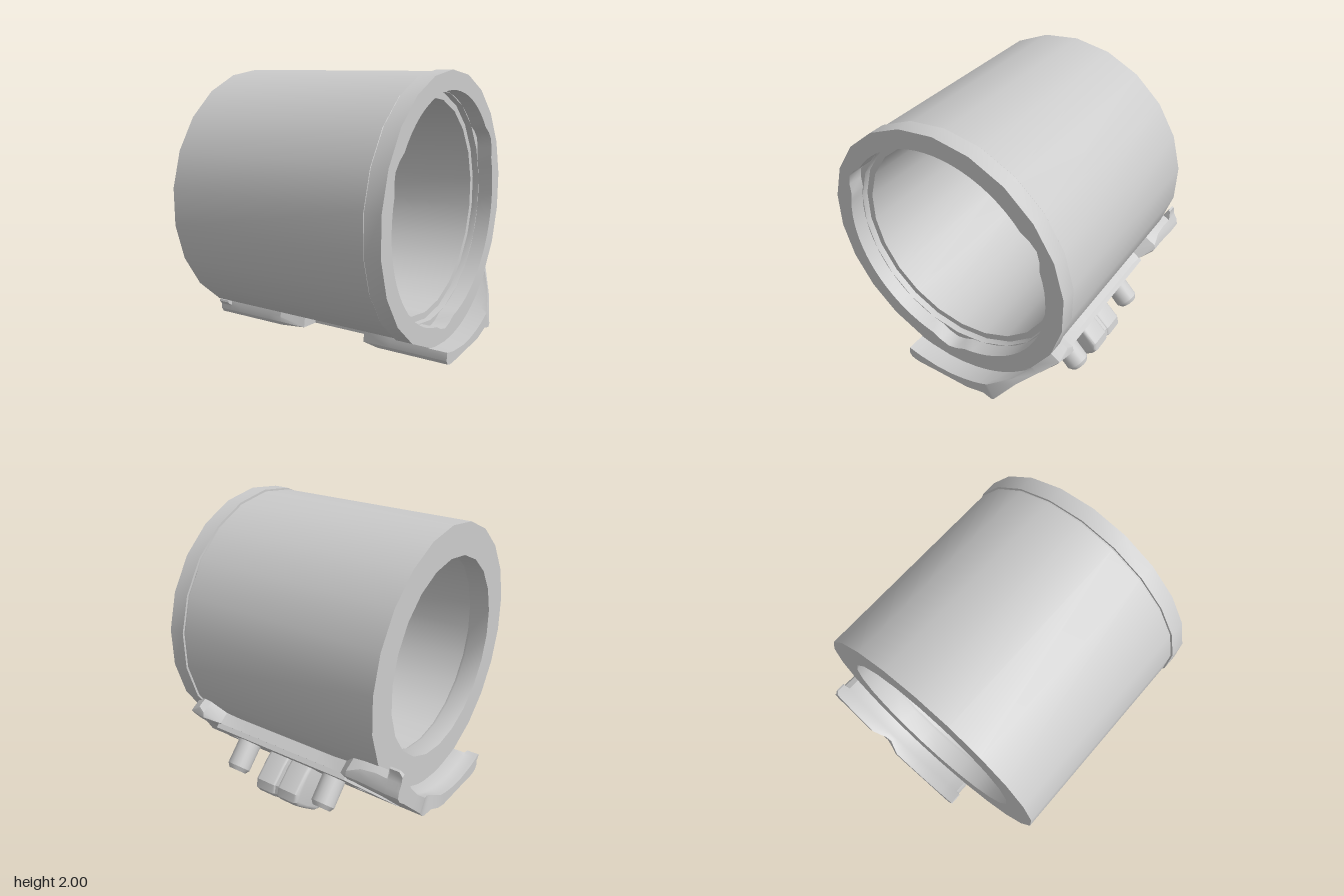
import * as THREE from 'three';
import { toCreasedNormals } from 'three/addons/utils/BufferGeometryUtils.js';

const CY = 1.115; // height of the ring axis, which runs along x
const MID = 0.03; // middle of the saddle along x
const SIDES = 22;
const rad = THREE.MathUtils.degToRad;

// Piecewise-linear lookup in a list of [key, value]
function lerpTable(table, k) {
  if (k <= table[0][0]) return table[0][1];
  for (let i = 1; i < table.length; i++) {
    const [k0, v0] = table[i - 1], [k1, v1] = table[i];
    if (k <= k1) return v0 + (v1 - v0) * (k - k0) / (k1 - k0);
  }
  return table[table.length - 1][1];
}

// Extrude an outline given in (-z, y) along x, from x0 to x1
function extrudeX(shape, x0, x1, bevel = 0) {
  const g = new THREE.ExtrudeGeometry(shape, {
    depth: x1 - x0 - 2 * bevel, bevelEnabled: bevel > 0,
    bevelSize: bevel, bevelOffset: -bevel, bevelThickness: bevel, bevelSegments: 3, curveSegments: 8,
  });
  g.rotateY(Math.PI / 2);
  g.translate(x0 + bevel, 0, 0);
  return g;
}

// Revolve an (r, x) outline about the ring axis
function latheX(points) {
  const g = new THREE.LatheGeometry(points.map(p => new THREE.Vector2(...p)), SIDES, Math.PI / 2);
  g.rotateZ(-Math.PI / 2);
  g.translate(0, CY, 0);
  return g;
}

// Saddle: angle (degrees from straight down, positive to the back) -> outer radius
const OUTER = [
  [-18, 0.89], [-16, 0.91], [-15.5, 0.945], [-14, 0.968], [-12, 0.97], [-9.5, 0.965], [0, 0.942],
  [8, 0.945], [15, 0.963], [20, 0.965], [23.5, 0.972], [25, 0.995], [26.6, 1.018], [30, 0.999],
  [33, 0.987], [37, 0.975], [45, 0.965], [54, 0.977], [58, 0.995], [60.5, 0.995], [62.5, 0.965],
  [64, 0.925], [66, 0.90], [68, 0.89],
];
// x, first angle, last angle, inner radius, lowering of the sloping face
const SECTIONS = [
  [-0.93, -18, 66, 0.875, 0], [-0.91, -18, 68, 0.875, 0], [-0.845, -18, 68, 0.875, 0],
  [-0.835, -16, 64, 0.87, 0], [-0.75, -16, 64, 0.87, 0.005], [-0.65, -16, 63.5, 0.865, 0.01],
  [-0.56, -16, 62, 0.865, 0.01], [-0.47, -16, 55, 0.865, 0.03], [-0.37, -16, 54, 0.865, 0.03],
  [-0.22, -10, 54, 0.865, 0.03], [-0.2, -3, 54, 0.865, 0.03], [0.26, -3, 54, 0.865, 0.03],
  [0.28, -10, 54, 0.865, 0.03], [0.43, -16, 54, 0.865, 0.03], [0.53, -16, 55, 0.865, 0.03],
  [0.61, -16, 62, 0.865, 0.01], [0.66, -16, 63, 0.865, 0.015], [0.74, -16, 60, 0.865, 0.03],
  [0.81, -16, 50, 0.865, 0.035], [0.81, -16, 50, 0.89, 0.035], [0.88, -16, 40, 0.89, 0.035], [0.94, -16, 28, 0.89, 0.03],
];

function saddleGeometry() {
  const angles = OUTER.map(o => o[0]);
  const n = angles.length, loop = 2 * n, pos = [], index = [];
  SECTIONS.forEach(([x, lo, hi, inner, drop]) => {
    const put = (a, r) => {
      // shallow dent in the far lip
      const dent = x < -0.9 ? 0.05 * Math.max(0, 1 - Math.abs(a - 28) / 8) : 0;
      pos.push(x + dent, CY - r * Math.cos(rad(a)), -r * Math.sin(rad(a)));
    };
    const clamped = angles.map(a => Math.min(hi, Math.max(lo, a)));
    clamped.forEach(a => put(a, lerpTable(OUTER, a) - drop * THREE.MathUtils.smoothstep(a, 27, 36)));
    clamped.slice().reverse().forEach(a => put(a, inner));
  });
  for (let s = 0; s < SECTIONS.length - 1; s++) {
    for (let i = 0; i < loop; i++) {
      const a = s * loop + i, b = s * loop + (i + 1) % loop;
      index.push(a, b, b + loop, a, b + loop, a + loop);
    }
  }
  // end caps
  const last = (SECTIONS.length - 1) * loop;
  for (let i = 0; i < n - 1; i++) {
    const o0 = i, o1 = i + 1, i1 = loop - 2 - i, i0 = loop - 1 - i;
    index.push(o0, i1, o1, o0, i0, i1);
    index.push(last + o0, last + o1, last + i1, last + o0, last + i1, last + i0);
  }
  const g = new THREE.BufferGeometry();
  g.setAttribute('position', new THREE.Float32BufferAttribute(pos, 3));
  g.setIndex(index);
  return g;
}

export function createModel() {
  const model = new THREE.Group();
  const material = new THREE.MeshStandardMaterial({ color: 0xcccccc });
  const add = (name, geometry, parent = model, crease = 0.55) => {
    const mesh = new THREE.Mesh(toCreasedNormals(geometry, crease), material);
    mesh.name = name;
    parent.add(mesh);
    return mesh;
  };

  // Main sleeve: wide bore, narrower lip at the far end, ledge behind the collar
  add('sleeve', latheX([
    [0.665, -0.75], [0.875, -0.75], [0.875, 0.69], [0.87, 0.695], [0.87, 0.705],
    [0.76, 0.705], [0.76, 0.66], [0.715, 0.66], [0.715, -0.6], [0.675, -0.6], [0.665, -0.62], [0.665, -0.75],
  ]));

  // Collar with three small notches in its inner edge
  const collar = new THREE.Shape();
  for (let i = 0; i < SIDES; i++) {
    const a = Math.PI / 2 + i / SIDES * 2 * Math.PI;
    collar[i ? 'lineTo' : 'moveTo'](0.885 * Math.cos(a), CY + 0.885 * Math.sin(a));
  }
  const bore = new THREE.Path();
  for (let i = 0; i < 72; i++) {
    const deg = i * 5, a = rad(deg - 90);
    const off = Math.min(...[0, 120, 245, 360].map(k => Math.abs(deg - k)));
    const r = off < 3 ? 0.80 : off < 6 ? 0.785 : 0.76;
    bore[i ? 'lineTo' : 'moveTo'](r * Math.cos(a), CY + r * Math.sin(a));
  }
  collar.holes.push(bore);
  add('collar', extrudeX(collar, 0.7, 0.81));

  // Saddle wrapped around the underside and lower back
  add('saddle', saddleGeometry());

  // Sloping mount: local z points outward, local y up the slope
  const mount = new THREE.Group();
  mount.name = 'mount';
  mount.position.set(MID, CY, 0);
  const out = new THREE.Vector3(0, -Math.SQRT1_2, -Math.SQRT1_2);
  const up = new THREE.Vector3(0, Math.SQRT1_2, -Math.SQRT1_2);
  mount.quaternion.setFromRotationMatrix(
    new THREE.Matrix4().makeBasis(new THREE.Vector3().crossVectors(up, out), up, out));
  model.add(mount);

  // Tapered face plate with two screw holes
  const plate = new THREE.Shape([[-0.74, -0.31], [0.74, -0.31], [0.53, 0.145], [-0.53, 0.145]]
    .map(p => new THREE.Vector2(...p)));
  for (const side of [-1, 1]) {
    plate.holes.push(new THREE.Path().absarc(side * 0.53, -0.14, 0.045, 0, 2 * Math.PI, true));
  }
  const plateGeometry = new THREE.ExtrudeGeometry(plate, { depth: 0.05, bevelEnabled: false, curveSegments: 8 });
  plateGeometry.translate(0, 0, 0.92);
  add('facePlate', plateGeometry, mount);

  // Pair of pegs with chamfered ends
  for (const side of [-1, 1]) {
    const peg = new THREE.LatheGeometry([[0.08, 0.93], [0.08, 1.15], [0.06, 1.178], [0, 1.178]]
      .map(p => new THREE.Vector2(...p)), 18);
    peg.rotateX(Math.PI / 2);
    peg.translate(side * 0.36, -0.05, 0);
    add(side < 0 ? 'pegRight' : 'pegLeft', peg, mount);
  }

  // Foot made of two rounded halves with a seam between
  const foot = inset => new THREE.Shape([
    [0.46, 0.25], [0.47, 0.14], [0.48, 0.07], [0.51, 0.02], [0.57, 0.0], [0.62, 0.018], [0.72, 0.1],
    [0.80, 0.17], [0.825, 0.21], [0.81, 0.27], [0.70, 0.37], [0.60, 0.44],
  ].map(([u, y]) => new THREE.Vector2(0.64 + (u - 0.64) * inset, 0.2 + (y - 0.2) * inset)));
  add('footRight', extrudeX(foot(1), -0.145, 0.025, 0.025));
  add('footLeft', extrudeX(foot(1), 0.035, 0.205, 0.025));
  add('footSeam', extrudeX(foot(0.95), 0, 0.06));

  return model;
}
